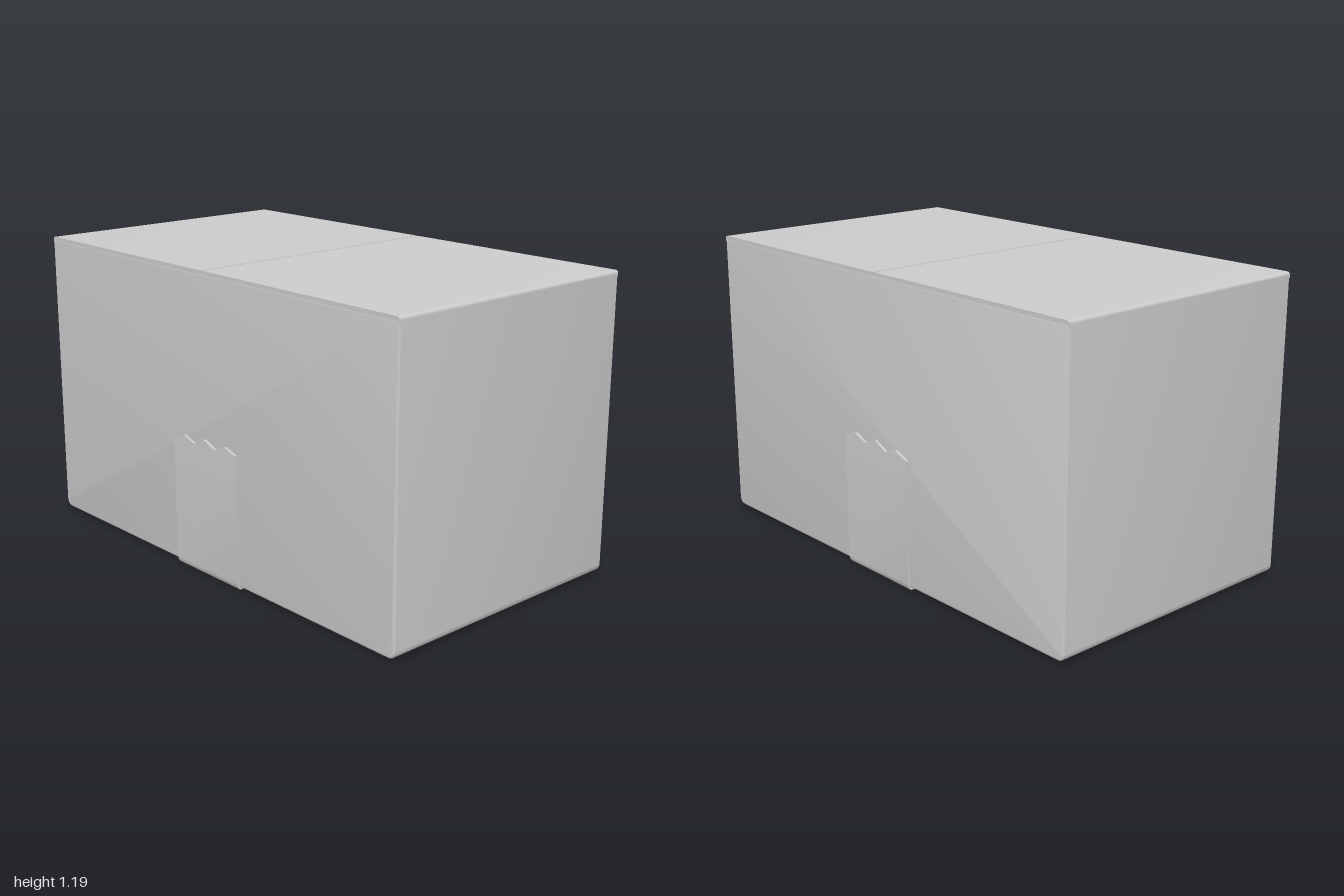
import * as THREE from 'three';
import { toCreasedNormals } from 'three/addons/utils/BufferGeometryUtils.js';

const W = 1, D = 0.563, TOP = 1.188, BASE = 0.012; // half width, half depth, heights
const TAPE = 0.185, TAPE_Z = 0.573;                // tape half width, outer face

const material = new THREE.MeshStandardMaterial({ color: 0xcccccc });

function addMesh(group, name, geometry) {
  const mesh = new THREE.Mesh(toCreasedNormals(geometry, 0.6), material);
  mesh.name = name;
  group.add(mesh);
  return mesh;
}

// Extrusion centred on z = 0 whose bevel stays inside the given half depth
function extrude(shape, halfDepth, bevel = 0) {
  const depth = 2 * (halfDepth - bevel);
  return new THREE.ExtrudeGeometry(shape, {
    depth, bevelEnabled: bevel > 0, bevelSize: bevel, bevelOffset: -bevel,
    bevelThickness: bevel, bevelSegments: 3, curveSegments: 6,
  }).translate(0, 0, -depth / 2);
}

export function createModel() {
  const model = new THREE.Group();
  model.name = 'cardboardBox';

  // Carton: rounded folds along the bottom
  const r = 0.03, top = TOP - 0.012;
  const body = new THREE.Shape();
  body.moveTo(-W + r, BASE);
  body.lineTo(W - r, BASE);
  body.absarc(W - r, BASE + r, r, -Math.PI / 2, 0);
  body.lineTo(W, top);
  body.lineTo(-W, top);
  body.lineTo(-W, BASE + r);
  body.absarc(-W + r, BASE + r, r, Math.PI, Math.PI * 1.5);
  addMesh(model, 'carton', extrude(body, D, 0.008));

  // Two top flaps meeting at a narrow seam, with a softened outer fold
  const seam = -0.004, gap = 0.003, fold = 0.014;
  for (const side of [-1, 1]) {
    const inner = seam + side * gap;
    const flap = new THREE.Shape();
    flap.moveTo(inner, top - 0.01);
    flap.lineTo(side * W, top - 0.01);
    flap.lineTo(side * W, TOP - fold);
    flap.quadraticCurveTo(side * W, TOP, side * (W - fold), TOP);
    flap.lineTo(inner, TOP);
    addMesh(model, side > 0 ? 'leftFlap' : 'rightFlap', extrude(flap, D - 0.001));
  }

  // Tape strip: U-shaped section in the z-y plane, run across x
  const c = 0.018, h = 0.5, inZ = D - 0.004, inY = BASE + 0.003;
  const strip = new THREE.Shape();
  strip.moveTo(-TAPE_Z + c, 0);
  strip.lineTo(TAPE_Z - c, 0);
  strip.quadraticCurveTo(TAPE_Z - 0.004, 0, TAPE_Z, c * 1.6);
  strip.lineTo(TAPE_Z, h);
  strip.lineTo(inZ, h);
  strip.lineTo(inZ, inY);
  strip.lineTo(-inZ, inY);
  strip.lineTo(-inZ, h);
  strip.lineTo(-TAPE_Z, h);
  strip.lineTo(-TAPE_Z, c * 1.6);
  strip.quadraticCurveTo(-TAPE_Z + 0.004, 0, -TAPE_Z + c, 0);
  addMesh(model, 'tapeStrip', extrude(strip, TAPE).rotateY(-Math.PI / 2));

  // Torn zigzag ends of the tape, front and back
  const teeth = [0.53, 0.55, 0.525, 0.55, 0.52, 0.54, 0.515];
  const tornEnd = new THREE.Shape();
  tornEnd.moveTo(-TAPE, h);
  tornEnd.lineTo(TAPE, h);
  teeth.forEach((y, i) => tornEnd.lineTo(TAPE - (i * 2 * TAPE) / (teeth.length - 1), y));
  for (const side of [-1, 1]) {
    const end = addMesh(model, side > 0 ? 'frontTapeEnd' : 'backTapeEnd',
      extrude(tornEnd, (TAPE_Z - inZ) / 2));
    end.position.z = side * (TAPE_Z + inZ) / 2;
  }

  return model;
}
